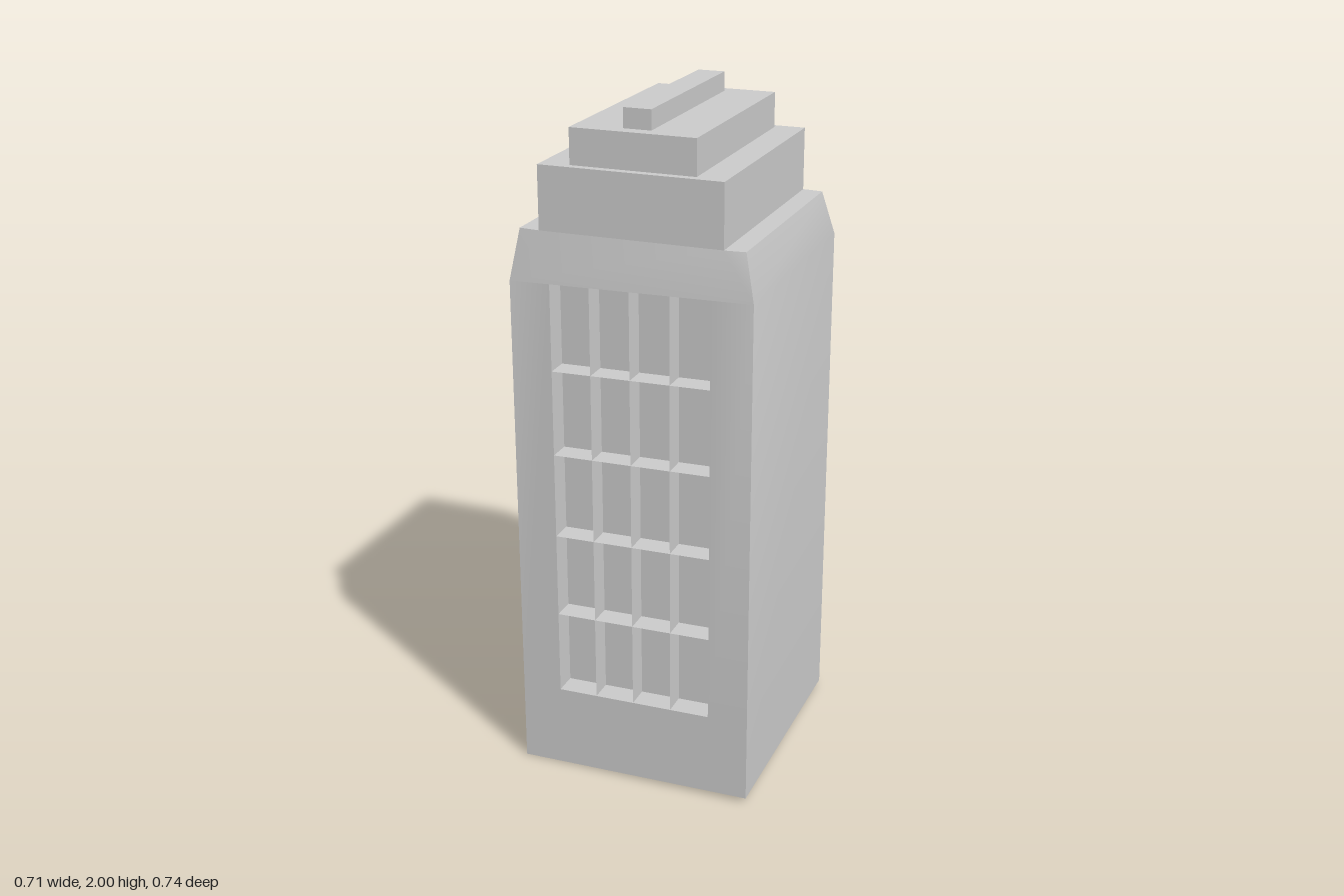
import * as THREE from 'three';
import { mergeGeometries, toCreasedNormals } from 'three/addons/utils/BufferGeometryUtils.js';

const W = 0.355, D = 0.366;                 // half width and half depth of the shaft
const SHOULDER = 1.512, ROOF = 1.66;        // where the taper starts and ends
const OPEN_X = 0.235, OPEN_Y = 0.25;        // half width and sill height of the window opening
const BACK = D - 0.07;                      // depth of the recessed window panel

// The shaft leans slightly: its levels tilt along x and its faces skew in z.
function lean(geometry) {
  const p = geometry.attributes.position;
  for (let i = 0; i < p.count; i++) {
    const x = p.getX(i), y = p.getY(i), z = p.getZ(i);
    if (y > SHOULDER + 0.01) p.setXYZ(i, x - 0.004, y, z + 0.003);
    else p.setXYZ(i, x, y + 0.01 + 0.022 * x, z + 0.0115 * x);
  }
  return geometry;
}

// Flat panels from corner loops, listed counter-clockwise as seen from outside.
function panels(loops) {
  const out = [];
  for (const loop of loops)
    for (let i = 1; i < loop.length - 1; i++) out.push(...loop[0], ...loop[i], ...loop[i + 1]);
  const g = new THREE.BufferGeometry();
  g.setAttribute('position', new THREE.Float32BufferAttribute(out, 3));
  return g;
}

// Upright rectangle facing +z.
const rect = (x0, x1, y0, y1, z) => [[x0, y0, z], [x1, y0, z], [x1, y1, z], [x0, y1, z]];

// One half of the tower shell: front wall with recess, shoulder and one side wall.
function shellHalf() {
  const bl = [-W, SHOULDER, D], br = [W, SHOULDER, D];
  const t = [[-0.326, ROOF, 0.336], [-0.266, ROOF, 0.342], [0.266, ROOF, 0.342], [0.326, ROOF, 0.336]];
  const o = rect(-OPEN_X, OPEN_X, OPEN_Y, SHOULDER, D);
  const b = rect(-OPEN_X, OPEN_X, OPEN_Y, SHOULDER, BACK);
  const recess = o.map((c, i) => {
    const j = (i + 1) % 4;
    return [c, o[j], b[j], b[i]];
  });
  return panels([
    // front wall around the opening
    rect(-W, W, 0, OPEN_Y, D),
    rect(-W, -OPEN_X, OPEN_Y, SHOULDER, D),
    rect(OPEN_X, W, OPEN_Y, SHOULDER, D),
    b, ...recess,
    // tapered front shoulder
    [bl, t[1], t[0]], [bl, br, t[2], t[1]], [br, t[3], t[2]],
    // side wall and its shoulder
    [[W, 0, D], [W, 0, -D], [W, SHOULDER, -D], br],
    [br, [W, SHOULDER, -D], [0.326, ROOF, -0.336], t[3]],
    // half of the base and of the roof
    [[-W, 0, 0], [W, 0, 0], [W, 0, D], [-W, 0, D]],
    [[-0.326, ROOF, 0], ...t, [0.326, ROOF, 0]],
  ]);
}

// Thin grid of four columns by five rows filling the opening.
function gridHalf() {
  const parts = [], depth = D - BACK, z = (D + BACK) / 2;
  const height = SHOULDER - OPEN_Y;
  for (let i = 1; i < 4; i++)
    parts.push(new THREE.PlaneGeometry(depth, height).rotateY(Math.PI / 2)
      .translate(-OPEN_X + (i * 2 * OPEN_X) / 4, OPEN_Y + height / 2, z));
  for (let j = 1; j < 5; j++)
    parts.push(new THREE.PlaneGeometry(2 * OPEN_X, depth).rotateX(-Math.PI / 2)
      .translate(0, OPEN_Y + (j * height) / 5, z));
  return mergeGeometries(parts);
}

const frontAndBack = (make) => lean(mergeGeometries([make(), make().rotateY(Math.PI)]));

export function createModel() {
  const group = new THREE.Group();
  group.name = 'tower';
  const solid = new THREE.MeshStandardMaterial({ color: 0xcccccc });
  const thin = new THREE.MeshStandardMaterial({ color: 0xcccccc, side: THREE.DoubleSide });

  const add = (name, geometry, material) => {
    const mesh = new THREE.Mesh(geometry, material);
    mesh.name = name;
    group.add(mesh);
  };

  add('towerShell', toCreasedNormals(frontAndBack(shellHalf), Math.PI / 6), solid);
  add('windowGrid', frontAndBack(gridHalf), thin);

  // Stepped roof tiers: name, x range, y range, z range
  const tiers = [
    ['lowerTier', -0.27, 0.262, ROOF, 1.842, -0.339, 0.345],
    ['middleTier', -0.185, 0.177, 1.842, 1.944, -0.315, 0.322],
    ['roofRidge', -0.045, 0.035, 1.944, 2, -0.278, 0.283],
  ];
  for (const [name, x0, x1, y0, y1, z0, z1] of tiers)
    add(name, new THREE.BoxGeometry(x1 - x0, y1 - y0, z1 - z0)
      .translate((x0 + x1) / 2, (y0 + y1) / 2, (z0 + z1) / 2), solid);

  return group;
}
